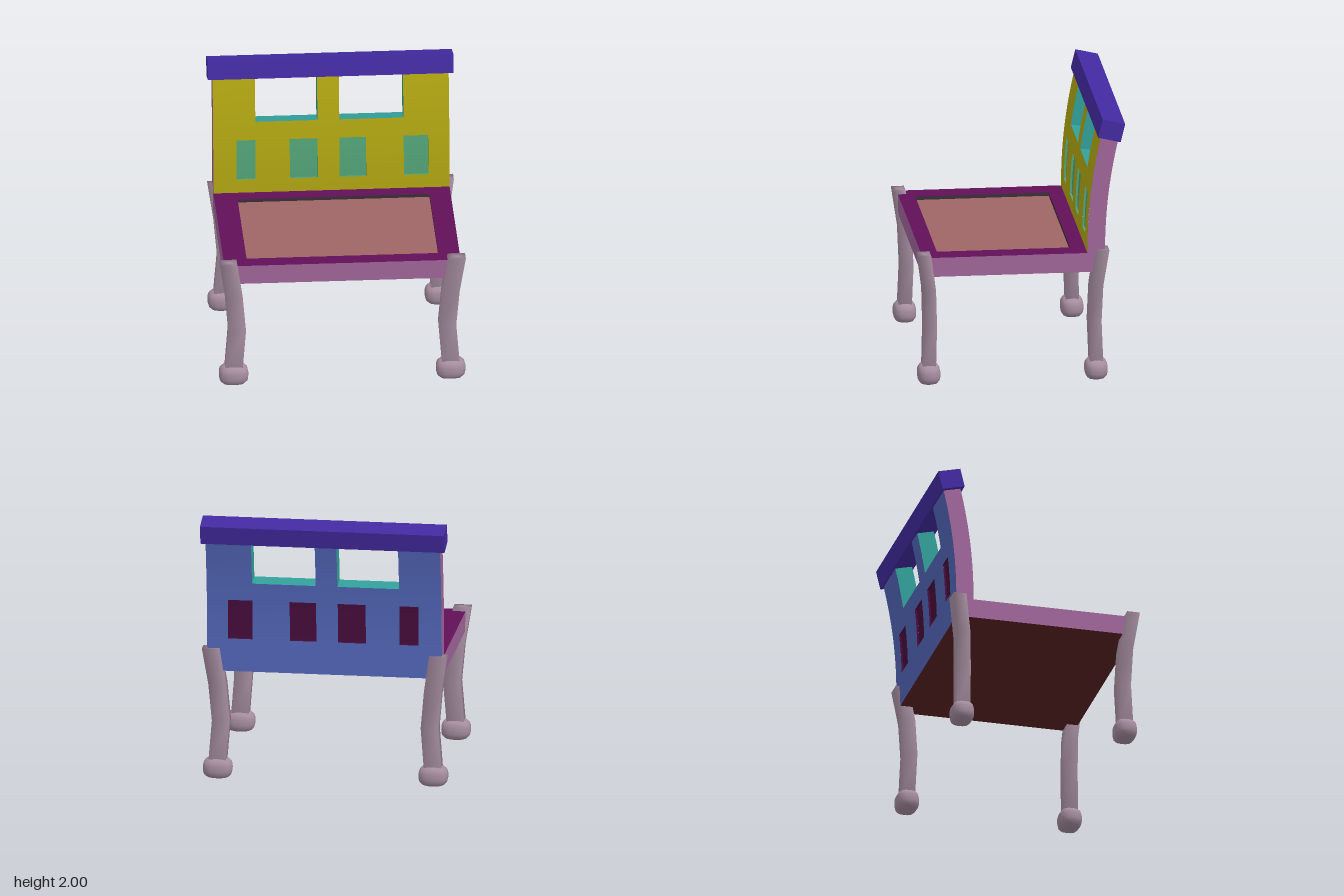
import * as THREE from 'three';
import { mergeGeometries, mergeVertices } from 'three/addons/utils/BufferGeometryUtils.js';

const C = {
  trim: 0xa0669a, yellow: 0xb2a712, blue: 0x5266b8, teal: 0x32a09a, green: 0x52a478, plum: 0x480c3c,
  rail: 0x432aa2, frame: 0x621059, seat: 0xa06666, under: 0x5a2222, recess: 0x3a3038, leg: 0xa58d9f,
};
const W = 0.865, BASE = 0.83, SEAT = 0.975, TOP = 1.9, THICK = 0.13, FRONT = 0.72, INSET = 0.015;
const lerp = THREE.MathUtils.lerp;

function addMesh(parent, name, geometry, color) {
  const mesh = new THREE.Mesh(geometry, new THREE.MeshStandardMaterial({ color }));
  mesh.name = name;
  parent.add(mesh);
  return mesh;
}

// Share vertices so the surface shades smoothly
function smooth(geometry) {
  geometry.deleteAttribute('normal');
  geometry.deleteAttribute('uv');
  const merged = mergeVertices(geometry, 1e-5);
  merged.computeVertexNormals();
  return merged;
}

// Surface patch: fn(u, v) gives a point, normal is u cross v
function patch(fn, nv = 1) {
  const g = new THREE.PlaneGeometry(1, 1, 1, nv), p = g.attributes.position;
  for (let i = 0; i < p.count; i++) {
    const q = fn(p.getX(i) + 0.5, p.getY(i) + 0.5);
    p.setXYZ(i, q.x, q.y, q.z);
  }
  return smooth(g);
}

// Point on the curved backrest, d is the depth behind its front face
function bend(x, y, d) {
  const t = Math.max(0, y - 1), slope = -0.27 * t, len = Math.hypot(1, slope);
  return new THREE.Vector3(x, y + d * slope / len, -0.49 - 0.135 * t * t - d / len);
}

// Four inner walls of a hole through or into the backrest
function holeWalls([x0, x1, y0, y1], d0, d1) {
  const side = (x, a, b) => patch((u, v) => bend(x, lerp(y0, y1, v), lerp(a, b, u)), 6);
  const flat = (y, a, b) => patch((u, v) => bend(lerp(a, b, u), y, lerp(d0, d1, v)));
  return mergeGeometries([side(x0, d0, d1), side(x1, d1, d0), flat(y0, x0, x1), flat(y1, x1, x0)]);
}

// Rectangle of the curved face, front or rear
function facePatch([x0, x1, y0, y1], d, rear) {
  const [a, b] = rear ? [x1, x0] : [x0, x1];
  return patch((u, v) => bend(lerp(a, b, u), lerp(y0, y1, v), d), 5);
}

function makeBackrest() {
  const group = new THREE.Group();
  group.name = 'backrest';
  const windows = [[-0.555, -0.1, 1.53, TOP], [0.06, 0.53, 1.53, TOP]];
  const panels = [[-0.695, -0.555], [-0.305, -0.1], [0.06, 0.255], [0.53, 0.71]].map(([a, b]) => [a, b, 1.08, 1.39]);
  const holes = [...windows, ...panels];
  const xs = [-W, -0.695, -0.555, -0.305, -0.1, 0.06, 0.255, 0.53, 0.71, W];

  // Front and rear faces, leaving out the holes
  for (const rear of [false, true]) {
    const ys = [rear ? BASE : SEAT, 1.08, 1.39, 1.53, TOP], cells = [];
    for (let i = 0; i + 1 < xs.length; i++) for (let j = 0; j + 1 < ys.length; j++) {
      const cx = (xs[i] + xs[i + 1]) / 2, cy = (ys[j] + ys[j + 1]) / 2;
      if (holes.some(([a, b, c, d]) => cx > a && cx < b && cy > c && cy < d)) continue;
      cells.push(facePatch([xs[i], xs[i + 1], ys[j], ys[j + 1]], rear ? THICK : 0, rear));
    }
    addMesh(group, rear ? 'backrestRear' : 'backrestFront', smooth(mergeGeometries(cells)), rear ? C.blue : C.yellow);
  }
  // Side edges
  for (const s of [-1, 1]) {
    const edge = patch((u, v) => bend(s * W, lerp(BASE, TOP, v), THICK * (s > 0 ? u : 1 - u)), 16);
    addMesh(group, 'backrestEdge', edge, C.trim);
  }
  // Window openings and sunken panels on both faces
  for (const w of windows) addMesh(group, 'windowLining', holeWalls(w, 0, THICK), C.teal);
  for (const p of panels) {
    addMesh(group, 'frontPanel', facePatch(p, INSET, false), C.green);
    addMesh(group, 'frontPanelEdge', holeWalls(p, 0, INSET), C.green);
    addMesh(group, 'rearPanel', facePatch(p, THICK - INSET, true), C.plum);
    addMesh(group, 'rearPanelEdge', holeWalls(p, THICK - INSET, THICK), C.plum);
  }
  // Tilted top rail
  const rail = addMesh(group, 'topRail', new THREE.BoxGeometry(1.8, 0.142, 0.17), C.rail);
  rail.position.set(0, 1.911, -0.665);
  rail.rotation.x = -0.235;
  return group;
}

function makeSeat() {
  const group = new THREE.Group();
  group.name = 'seat';
  const rect = (T, x0, x1, z0, z1) => new T([[x0, -z1], [x1, -z1], [x1, -z0], [x0, -z0]].map(([x, y]) => new THREE.Vector2(x, y)));
  const [x0, x1, z0, z1] = [-0.695, 0.71, -0.38, 0.6], low = SEAT - 0.025;
  const V = (x, y, z) => new THREE.Vector3(x, y, z);
  // Upright wall from a to b, both [x, z]
  const wall = (a, b, y0, y1) => patch((u, v) => V(lerp(a[0], b[0], u), lerp(y0, y1, v), lerp(a[1], b[1], u)));

  // Frame around the sunken seat panel
  const top = rect(THREE.Shape, -W, W, -0.49, FRONT);
  top.holes.push(rect(THREE.Path, x0, x1, z0, z1));
  addMesh(group, 'seatFrame', new THREE.ShapeGeometry(top).rotateX(-Math.PI / 2).translate(0, SEAT, 0), C.frame);
  addMesh(group, 'seatPanel', patch((u, v) => V(lerp(x0, x1, u), low, lerp(z1, z0, v))), C.seat);
  const inner = [[x0, z0], [x1, z0], [x1, z1], [x0, z1]];
  addMesh(group, 'seatPanelEdge', mergeGeometries(inner.map((a, i) => wall(a, inner[(i + 1) % 4], low, SEAT))), C.recess);

  // Apron and underside
  const apron = [[-W, -0.49], [-W, FRONT], [W, FRONT], [W, -0.49]];
  addMesh(group, 'apron', mergeGeometries([0, 1, 2].map((i) => wall(apron[i], apron[i + 1], BASE, SEAT))), C.trim);
  addMesh(group, 'underside', patch((u, v) => V(lerp(-W, W, u), BASE, lerp(-0.62, FRONT, v))), C.under);
  return group;
}

// Square leg following a bowed path, for the corner with signs sx and sz
function makeLeg(sx, sz) {
  const group = new THREE.Group();
  group.name = (sz > 0 ? 'front' : 'back') + (sx > 0 ? 'Left' : 'Right') + 'Leg';
  // Centre line rows from bottom to top: x, y, z
  const rows = [[0.795, 0.13, 0.615], [0.77, 0.44, 0.605], [0.795, 0.72, 0.615], [0.837, 1.0, 0.655]];
  const g = new THREE.CylinderGeometry(Math.SQRT2, Math.SQRT2, 3, 4, 3, false, Math.PI / 4);
  const p = g.attributes.position;
  for (let i = 0; i < p.count; i++) {
    const [x, y, z] = rows[Math.round(p.getY(i) + 1.5)];
    p.setXYZ(i, sx * x + p.getX(i) * 0.064, y, 0.055 + sz * z + p.getZ(i) * 0.048);
  }
  addMesh(group, 'legPost', smooth(g), C.leg);

  // Rounded block foot
  const f = new THREE.SphereGeometry(1, 16, 12), q = f.attributes.position, v = new THREE.Vector3();
  for (let i = 0; i < q.count; i++) {
    v.fromBufferAttribute(q, i);
    const k = Math.cbrt(Math.abs(v.x) ** 3 + Math.abs(v.y) ** 3 + Math.abs(v.z) ** 3);
    q.setXYZ(i, v.x / k * 0.108, v.y / k * 0.078, v.z / k * 0.084);
  }
  addMesh(group, 'foot', smooth(f), C.leg).position.set(sx * 0.795, 0.078, 0.055 + sz * 0.615);
  return group;
}

export function createModel() {
  const model = new THREE.Group();
  model.name = 'bench';
  model.add(makeBackrest(), makeSeat());
  for (const sx of [-1, 1]) for (const sz of [-1, 1]) model.add(makeLeg(sx, sz));
  return model;
}
